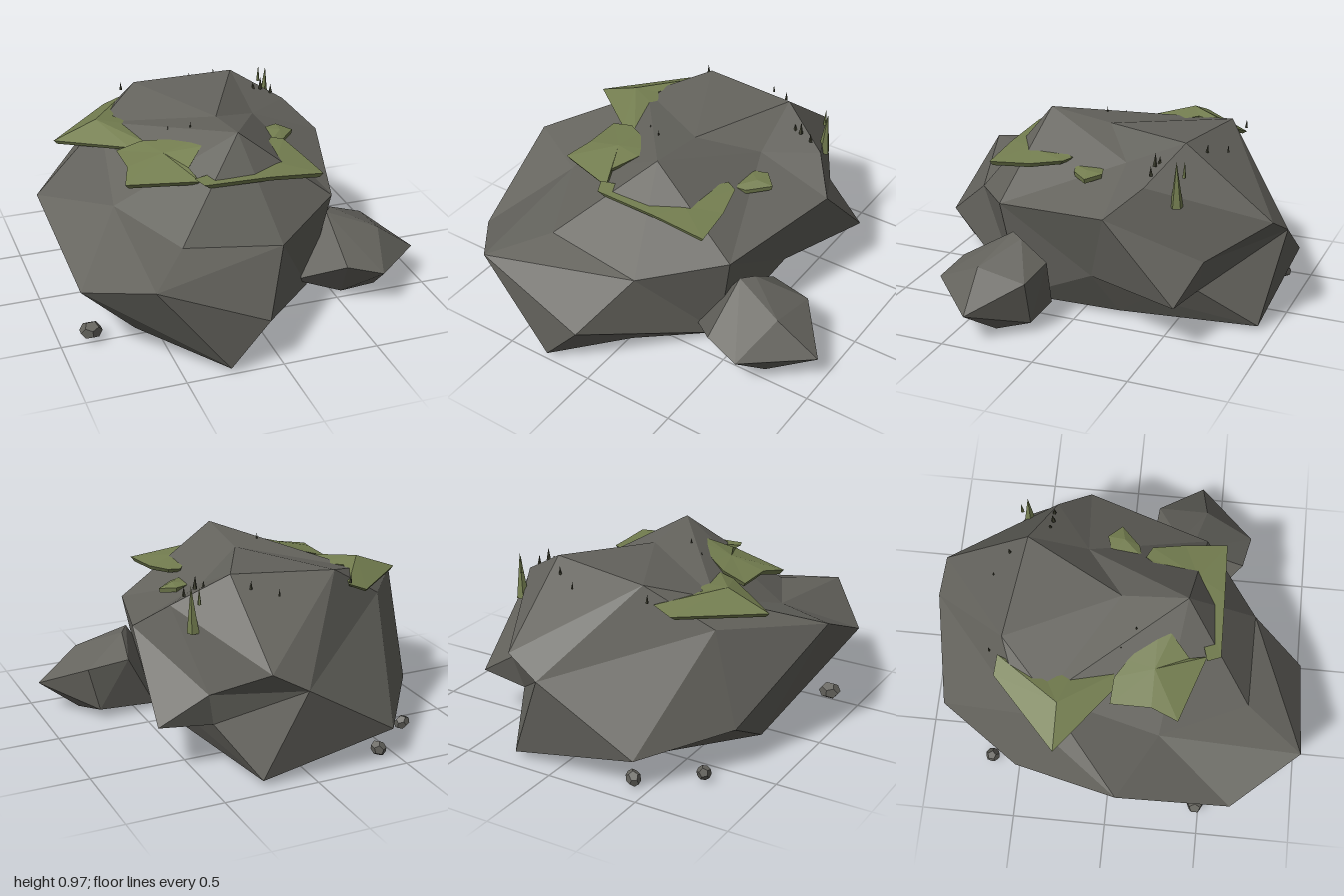
import * as THREE from 'three';
import { ConvexGeometry } from 'three/addons/geometries/ConvexGeometry.js';

const mat = (color) => new THREE.MeshStandardMaterial({ color, flatShading: true, roughness: 1, side: THREE.DoubleSide });
const stone = mat(0x64635d);
const moss = mat(0x747e50);
const dryGrass = mat(0x3f4030);
const V = (p) => new THREE.Vector3(...p);

function add(group, name, geometry, material) {
  const mesh = new THREE.Mesh(geometry, material);
  mesh.name = name;
  group.add(mesh);
  return mesh;
}

// Dented rock: corners are joined as seen from the centre, so hollows survive
function rockGeometry(corners, centre) {
  const points = corners.map(V);
  const dirs = points.map((p) => p.clone().sub(centre).multiply(new THREE.Vector3(1, 2, 1)).normalize());
  const geo = new ConvexGeometry(dirs);
  const pos = geo.attributes.position;
  const v = new THREE.Vector3();
  for (let i = 0; i < pos.count; i++) {
    v.fromBufferAttribute(pos, i);
    let best = 0;
    dirs.forEach((d, j) => { if (d.distanceToSquared(v) < dirs[best].distanceToSquared(v)) best = j; });
    pos.setXYZ(i, ...points[best].toArray());
  }
  geo.computeVertexNormals();
  return geo;
}

// Thin moss cushion: a raised middle, an outer rim and a lower rim
function mossGeometry(middle, rim, thickness) {
  const pos = [];
  const low = rim.map(([x, y, z]) => [
    middle[0] + (x - middle[0]) * 0.92, y - thickness, middle[2] + (z - middle[2]) * 0.92]);
  const under = [middle[0], middle[1] - thickness * 1.5, middle[2]];
  rim.forEach((a, i) => {
    const j = (i + 1) % rim.length;
    pos.push(...middle, ...a, ...rim[j]);
    pos.push(...a, ...low[i], ...rim[j], ...rim[j], ...low[i], ...low[j]);
    pos.push(...under, ...low[j], ...low[i]);
  });
  const geo = new THREE.BufferGeometry();
  geo.setAttribute('position', new THREE.Float32BufferAttribute(pos, 3));
  geo.computeVertexNormals();
  return geo;
}

export function createModel() {
  const model = new THREE.Group();
  model.name = 'mossyBoulder';

  // Main boulder: crown, shoulders, flanks, base
  const crown = [
    [-0.01, 0.97, 0.34], [-0.01, 0.92, 0], [0.25, 0.96, -0.51], [-0.29, 0.93, -0.58],
    [-0.55, 0.83, -0.33], [0.52, 0.8, -0.39], [0.27, 0.82, -0.2],
  ];
  const shoulders = [
    [-0.64, 0.62, 0.25], [-0.99, 0.65, 0.06], [-0.42, 0.57, 0.7], [0.1, 0.5, 0.71], [0.48, 0.58, 0.42],
    [0.66, 0.66, -0.23], [0.24, 0.6, -0.97], [0.06, 0.5, -1], [-0.62, 0.72, -0.45],
  ];
  const flanks = [
    [-0.92, 0.39, 0.65], [-0.64, 0.52, 0.99], [-0.07, 0.26, 0.99], [0.5, 0.27, -0.1],
    [0.68, 0.26, -0.61], [0.44, 0.42, -0.68], [0.4, 0.15, -0.37], [0.4, 0.24, -0.64],
    [-0.77, 0.24, -0.5], [-0.45, 0.18, -0.94], [-0.775, 0.09, -0.22],
  ];
  const base = [
    [-0.27, 0.03, 0.99], [0.03, 0.03, 0.65], [0.38, 0.03, 0.36], [0.36, 0.03, -0.2],
    [0.26, 0.03, -0.92], [-0.32, 0.03, -0.62], [-0.61, 0.03, 0.48],
  ];
  add(model, 'boulder', rockGeometry([...crown, ...shoulders, ...flanks, ...base],
    new THREE.Vector3(-0.08, 0.42, 0)), stone);

  // Smaller rock leaning on the side
  add(model, 'sideRock', new ConvexGeometry([
    [0.49, 0.44, 0.34], [0.54, 0.43, 0.27], [0.76, 0.34, 0.41], [0.78, 0.3, 0.14], [0.56, 0.33, 0.12],
    [0.68, 0.21, 0.675], [0.49, 0.26, 0.635], [0.985, 0.17, 0.38], [0.79, 0.03, 0.3], [0.73, 0.03, 0.46],
    [0.53, 0.03, 0.48], [0.28, 0.11, 0.42], [0.4, 0.03, 0.17], [0.72, 0.06, 0.14],
  ].map(V)), stone);

  // Pebbles: x, y, z, radius
  [[-0.84, 0.065, 0.48, 0.06], [-0.68, 0.05, -0.65, 0.045], [-0.41, 0.05, -0.87, 0.045],
    [-0.05, 0.035, -0.52, 0.04, moss], [-0.13, 0.03, -0.37, 0.025, moss],
  ].forEach(([x, y, z, r, material = stone], i) => {
    const pebble = add(model, 'pebble', new THREE.DodecahedronGeometry(r, 0), material);
    pebble.position.set(x, y, z);
    pebble.rotation.set(i, i * 2, 0);
    pebble.scale.set(1, 0.8, 0.85);
  });

  // Moss cushions growing out of the crown
  add(model, 'mossBack', mossGeometry([-0.59, 0.875, -0.27], [
    [-0.82, 0.785, -0.27], [-0.48, 0.81, 0], [-0.4, 0.83, 0], [-0.38, 0.84, -0.2],
    [-0.48, 0.855, -0.33], [-0.36, 0.85, -0.6], [-0.46, 0.81, -0.61],
  ], 0.02), moss);
  add(model, 'mossLeft', mossGeometry([-0.36, 0.85, 0.2], [
    [-0.55, 0.8, 0.2], [-0.6, 0.77, 0.34], [-0.25, 0.79, 0.46], [-0.28, 0.83, 0.37],
    [-0.18, 0.89, 0.27], [-0.16, 0.9, 0.2], [-0.33, 0.86, 0.06], [-0.42, 0.84, 0], [-0.55, 0.8, -0.01],
  ], 0.025), moss);
  add(model, 'mossFront', mossGeometry([0.18, 0.795, 0.38], [
    [-0.28, 0.81, 0.46], [-0.25, 0.8, 0.53], [0.1, 0.79, 0.525], [0.385, 0.765, 0.52],
    [0.36, 0.775, 0.3], [0.32, 0.8, 0.13], [0.26, 0.805, 0.1], [0.1, 0.81, 0.35],
  ], 0.025), moss);
  add(model, 'mossRight', mossGeometry([0.36, 0.785, -0.02], [
    [0.27, 0.77, 0.08], [0.34, 0.76, 0.06], [0.44, 0.765, -0.04], [0.37, 0.78, -0.11], [0.28, 0.78, -0.08],
  ], 0.025), moss);

  // Grass blades: x, foot y, z, height, radius
  [[0.465, 0.7, -0.54, 0.24, 0.033, moss], [0.44, 0.85, -0.57, 0.09, 0.01, moss],
    [0.39, 0.87, -0.4, 0.07, 0.012], [0.35, 0.87, -0.41, 0.04, 0.01], [0.45, 0.84, -0.4, 0.05, 0.01],
    [-0.28, 0.86, 0.02, 0.05, 0.01], [-0.24, 0.87, 0.05, 0.04, 0.009], [-0.18, 0.88, 0.09, 0.07, 0.011],
    [0.18, 0.9, -0.6, 0.045, 0.008], [-0.35, 0.87, -0.64, 0.045, 0.008], [0.06, 0.87, -0.67, 0.04, 0.006],
  ].forEach(([x, y, z, h, r, material = dryGrass], i) => {
    const blade = add(model, 'grassBlade', new THREE.ConeGeometry(r, h, 5), material);
    blade.position.set(x, y + h / 2, z);
    blade.rotation.set(0, i, -0.05);
  });

  return model;
}
